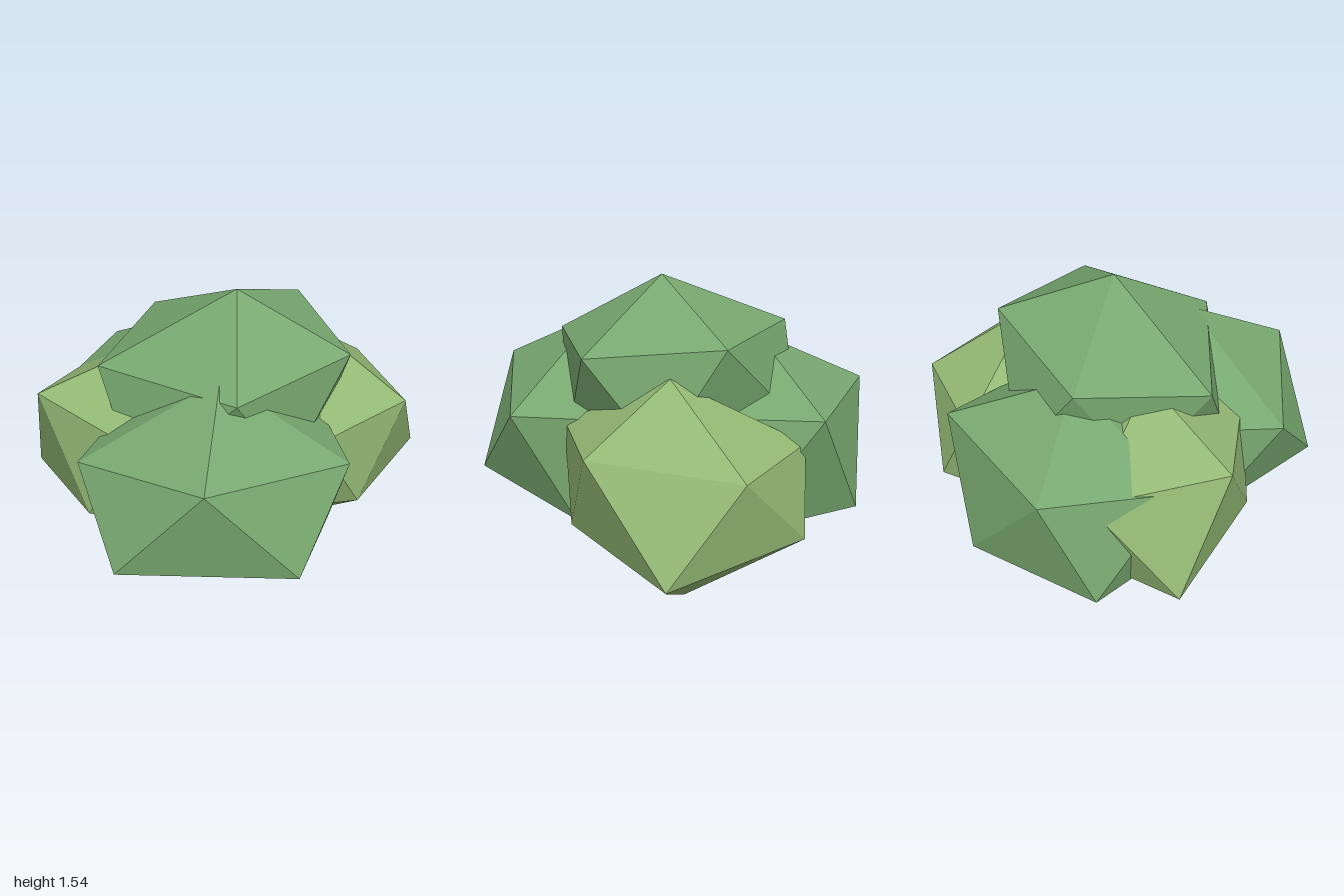
import * as THREE from 'three';

const GREEN = 0x78a870;
const OLIVE = 0x93b874;

// An irregular 20-sided leaf clump: apex, upper ring, lower ring and bottom.
// Rings run from +x towards +z; a null corner mirrors its opposite through the centre.
function leafClump(name, color, apex, upper, lower, bottom) {
  const mirror = p => p.map((v, k) => apex[k] + bottom[k] - v);
  const u = upper.map((p, i) => p || mirror(lower[(i + 2) % 5]));
  const l = lower.map((p, i) => p || mirror(upper[(i + 3) % 5]));

  const corners = [];
  for (let i = 0; i < 5; i++) {
    const j = (i + 1) % 5;
    corners.push(
      apex, u[j], u[i], // crown
      u[i], u[j], l[i], // side, pointing down
      u[j], l[j], l[i], // side, pointing up
      l[i], l[j], bottom // underside
    );
  }
  const geometry = new THREE.BufferGeometry();
  geometry.setAttribute('position', new THREE.Float32BufferAttribute(corners.flat(), 3));
  geometry.computeVertexNormals();
  const mesh = new THREE.Mesh(geometry, new THREE.MeshStandardMaterial({ color, flatShading: true }));
  mesh.name = name;
  return mesh;
}

export function createModel() {
  const bush = new THREE.Group();
  bush.name = 'bush';

  bush.add(
    leafClump('topClump', GREEN, [0.15, 1.55, -0.04],
      [[0.31, 1.33, -0.62], [0.74, 1.265, -0.08], [0.34, 1.195, 0.51], [-0.47, 1.18, 0.31], [-0.43, 1.25, -0.37]],
      [null, null, null, [-0.45, 0.76, -0.04], null],
      [-0.04, 0.45, -0.08]),

    leafClump('frontClump', GREEN, [0.21, 1.26, 0.38],
      [[0.86, 0.89, 0.33], [0.33, 0.95, 0.94], [-0.41, 0.86, 0.72], null, null],
      [[0.74, 0.45, 0.73], [-0.11, 0.45, 1.0], [-0.41, 0.36, 0.33], null, [0.7, 0.355, 0.04]],
      [0.17, 0.11, 0.35]),

    leafClump('rightClump', OLIVE, [-0.31, 1.2, 0.03],
      [null, [-0.2, 0.9, 0.56], [-0.82, 0.96, 0.32], [-0.78, 0.87, -0.38], null],
      [null, [-0.45, 0.43, 0.54], [-0.99, 0.36, 0.03], null, null],
      [-0.35, 0.055, 0.03]),

    leafClump('leftBackClump', OLIVE, [0.5, 1.19, -0.43],
      [[0.99, 0.91, -0.35], [0.66, 0.86, 0.15], null, [0, 0.83, -0.86], [0.58, 0.85, -0.98]],
      [[0.83, 0.42, -0.07], null, null, [0.16, 0.42, -1.0], [0.96, 0.4, -0.84]],
      [0.43, 0.005, -0.46]),

    leafClump('rightBackClump', GREEN, [-0.24, 1.22, -0.33],
      [null, null, [-0.81, 0.89, 0.05], [-0.78, 0.9, -0.62], [-0.03, 0.96, -0.95]],
      [null, null, [-0.91, 0.35, -0.37], [-0.39, 0.36, -0.91], null],
      [-0.26, 0.05, -0.3])
  );
  return bush;
}
